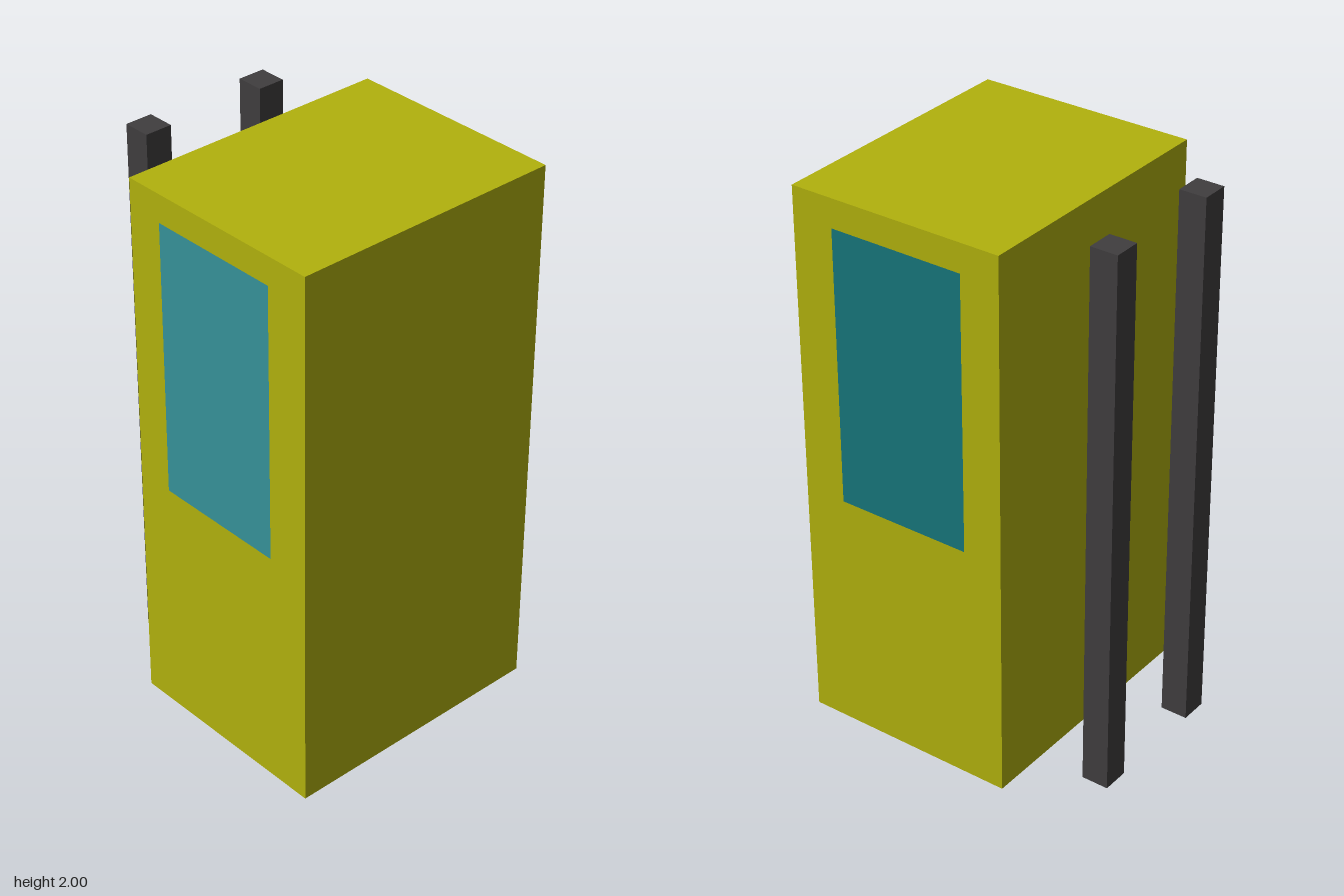
import * as THREE from 'three';

const paint = (color) => new THREE.MeshStandardMaterial({ color });

export function createModel() {
  const model = new THREE.Group();
  const add = (name, geometry, material, x, y, z) => {
    const mesh = new THREE.Mesh(geometry, material);
    mesh.name = name;
    mesh.position.set(x, y, z);
    model.add(mesh);
    return mesh;
  };

  // Tall cabin block
  add('cabin', new THREE.BoxGeometry(1, 2, 0.8), paint(0xb2b20d), -0.0025, 1, 0.14);

  // Two upright mast rails standing behind the cabin
  const railMaterial = paint(0x403e3f);
  for (const [side, name] of [[1, 'leftMastRail'], [-1, 'rightMastRail']]) {
    add(name, new THREE.BoxGeometry(0.1, 2, 0.1), railMaterial, side * 0.2375, 1, -0.49);
  }

  // A thin window pane just outside each side wall
  for (const [side, name, color] of [[1, 'leftWindow', 0x17777b], [-1, 'rightWindow', 0x36939a]]) {
    const pane = add(name, new THREE.PlaneGeometry(0.5, 1), paint(color), side * 0.504, 1.4, 0.13);
    pane.rotation.y = side * Math.PI / 2;
  }

  return model;
}
